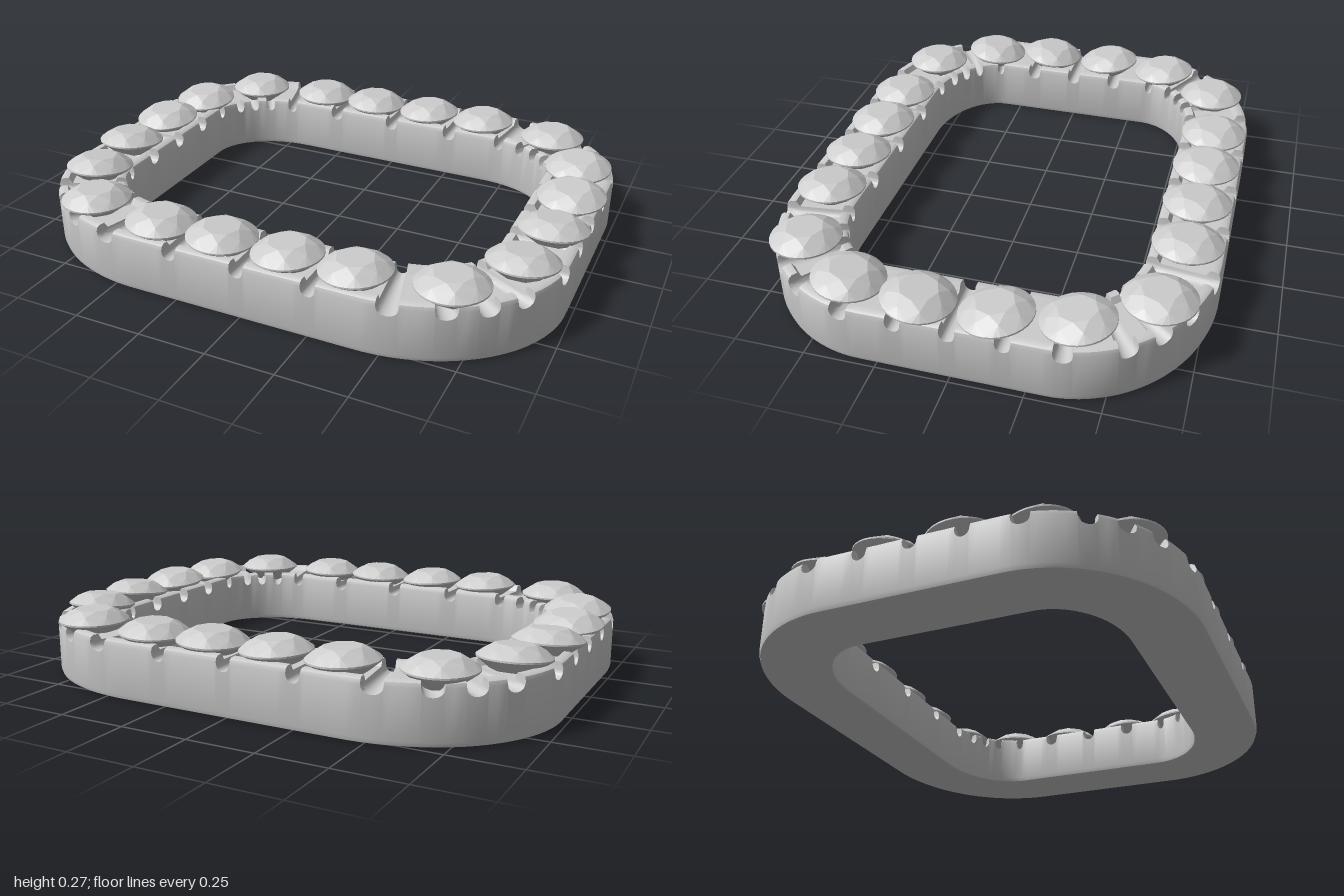
import * as THREE from 'three';
import { toCreasedNormals } from 'three/addons/utils/BufferGeometryUtils.js';
import { ConvexGeometry } from 'three/addons/geometries/ConvexGeometry.js';

const CX = 0.42, CZ = 0.31, ARC = 0.62;            // straight lengths and corner length of a quarter
const QUARTER = CX + ARC + CZ;
const GROOVE_R = 0.025, GROOVE_Y = 0.185;
const corner = deg => CX + ARC * deg / 90;
const grooves = [0, 0.26, corner(11), corner(30), corner(44.5), corner(59), corner(83),
  QUARTER - 0.18, QUARTER];

// Point on one quarter of the band: q runs along it, t goes from outside (0) to inside (1)
function bandPoint(q, t) {
  const rx = 0.565 - 0.255 * t, rz = 0.48 - 0.255 * t;
  if (q <= CX) return [q, CZ + rz];
  if (q >= CX + ARC) return [CX + rx, QUARTER - q];
  const a = (q - CX) / ARC * Math.PI / 2;
  return [CX + rx * Math.sin(a), CZ + rz * Math.cos(a)];
}

// Stations along a quarter, close together at every groove: { q, cap height }
function quarterStations() {
  const list = [];
  for (const g of grooves) {
    for (let i = 0; i <= 10; i++) {
      const d = -GROOVE_R * Math.cos(i / 10 * Math.PI);
      list.push({ q: g + d, cap: GROOVE_Y - Math.sqrt(Math.max(0, GROOVE_R ** 2 - d * d)) });
    }
    list.push({ q: g - GROOVE_R - 0.001, cap: 1 }, { q: g + GROOVE_R + 0.001, cap: 1 });
  }
  for (let i = 0; i <= 40; i++) {
    const q = i / 40 * QUARTER;
    if (grooves.every(g => Math.abs(g - q) > GROOVE_R + 0.004)) list.push({ q, cap: 1 });
  }
  return list.filter(s => s.q > -1e-6 && s.q < QUARTER + 1e-6).sort((a, b) => a.q - b.q);
}

// Band: a railed cross-section swept round the loop, cut down at the grooves
function bandGeometry() {
  const section = [[0.06, 0], [0.018, 0.005], [0, 0.02], [0, 0.19], [0.02, 0.204], [0.06, 0.21],
    [0.14, 0.21], [0.19, 0.188], [0.81, 0.188], [0.86, 0.21], [0.94, 0.21], [0.98, 0.204],
    [1, 0.19], [1, 0.02], [0.982, 0.005], [0.94, 0]];
  const quarter = quarterStations(), reversed = [...quarter].reverse();
  const loop = [];
  [[1, 1], [1, -1], [-1, -1], [-1, 1]].forEach(([sx, sz], k) => {
    const part = k % 2 ? reversed : quarter;
    part.slice(0, -1).forEach(s => loop.push({ ...s, sx, sz }));
  });
  const pos = [], index = [], n = section.length;
  loop.forEach((s, i) => {
    const next = (i + 1) % loop.length;
    section.forEach(([t, y], j) => {
      const [x, z] = bandPoint(s.q, t);
      pos.push(s.sx * x, Math.min(y, s.cap), s.sz * z);
      const a = i * n + j, b = next * n + j, c = next * n + (j + 1) % n, d = i * n + (j + 1) % n;
      index.push(a, b, c, a, c, d);
    });
  });
  const geo = new THREE.BufferGeometry();
  geo.setAttribute('position', new THREE.Float32BufferAttribute(pos, 3));
  geo.setIndex(index);
  return toCreasedNormals(geo, 0.6);
}

// Round brilliant: rings of points wrapped in a convex hull
function gemGeometry() {
  const points = [new THREE.Vector3(0, -0.085, 0)];
  const ring = (r, y, n, turn) => {
    for (let i = 0; i < n; i++) {
      const a = (i + turn) / n * Math.PI * 2;
      points.push(new THREE.Vector3(r * Math.cos(a), y, r * Math.sin(a)));
    }
  };
  ring(0.066, 0.043, 8, 0);        // table
  ring(0.098, 0.027, 8, 0.5);      // crown
  ring(0.125, 0.004, 32, 0);       // girdle
  ring(0.125, -0.002, 32, 0);
  ring(0.065, -0.05, 8, 0.5);      // pavilion
  return new ConvexGeometry(points);
}

export function createModel() {
  const model = new THREE.Group();
  const material = new THREE.MeshStandardMaterial({ color: 0xcccccc });

  const band = new THREE.Mesh(bandGeometry(), material);
  band.name = 'band';
  model.add(band);

  // Gems of one quarter, mirrored to all four: x, z, tilt about x, tilt about z
  const gems = new THREE.Group();
  gems.name = 'gems';
  const gem = gemGeometry();
  const seats = [[0.125, 0.66, 0, 0.04], [0.37, 0.66, 0, 0.04], [0.68, 0.615, 0, 0],
    [0.84, 0.385, 0.1, 0], [0.875, 0.13, 0.1, 0]];
  for (const sx of [1, -1]) for (const sz of [1, -1]) {
    for (const [x, z, tiltX, tiltZ] of seats) {
      const mesh = new THREE.Mesh(gem, material);
      mesh.name = 'gem';
      mesh.position.set(sx * x, 0.221, sz * z);
      mesh.rotation.set(-sz * tiltX, 0, sx * tiltZ);
      gems.add(mesh);
    }
  }
  model.add(gems);
  return model;
}
